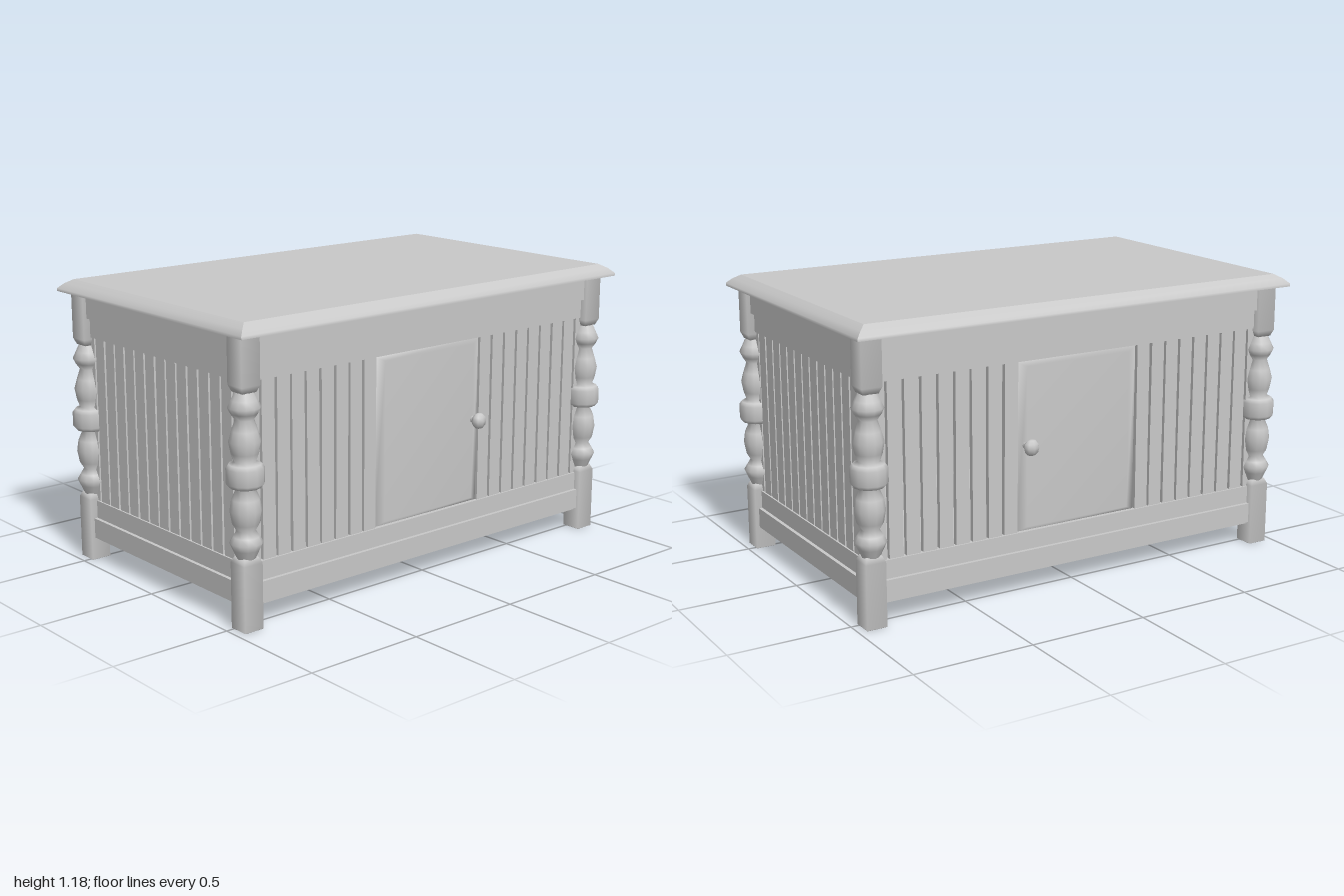
import * as THREE from 'three';
import { mergeVertices } from 'three/addons/utils/BufferGeometryUtils.js';

export function createModel() {
  const model = new THREE.Group();
  const paint = new THREE.MeshStandardMaterial({ color: 0xc8c8c8 });
  paint.name = 'grey paint';

  const add = (name, geometry, x = 0, y = 0, z = 0, parent = model) => {
    const mesh = new THREE.Mesh(geometry, paint);
    mesh.name = name;
    mesh.position.set(x, y, z);
    parent.add(mesh);
    return mesh;
  };
  // box given by its centre in plan and its bottom and top heights
  const board = (name, w, d, y0, y1, x, z, parent) =>
    add(name, new THREE.BoxGeometry(w, y1 - y0, d), x, (y0 + y1) / 2, z, parent);

  // small seeded generator for the hand-fitted tilt of the slats
  let seed = 7;
  const jitter = () => {
    seed = (seed * 16807) % 2147483647;
    return seed / 2147483647 - 0.5;
  };

  // top slab, sloping in above a narrow vertical edge
  const slab = new THREE.BoxGeometry(2, 0.05, 1.24, 1, 3, 1);
  const p = slab.attributes.position;
  const levels = [[1.13, 0], [1.142, 0], [1.163, 0.022], [1.18, 0.05]];
  for (let i = 0; i < p.count; i++) {
    const [y, inset] = levels[Math.round((p.getY(i) + 0.025) / 0.05 * 3)];
    p.setXYZ(i, Math.sign(p.getX(i)) * (1 - inset), y, Math.sign(p.getZ(i)) * (0.62 - inset));
  }
  slab.computeVertexNormals();
  add('top', slab);

  // corner posts: square ends with a turned middle
  const lathe = (points, sides) =>
    new THREE.LatheGeometry(points.map(([r, y]) => new THREE.Vector2(r, y)), sides);
  const foot = lathe([[0, 0], [0.06, 0], [0.06, 0.001], [0.06, 0.262], [0.045, 0.285], [0, 0.287]], 4);
  const head = lathe([[0, 0.912], [0.045, 0.914], [0.06, 0.94], [0.06, 1.135]], 4);
  foot.rotateY(Math.PI / 4);
  head.rotateY(Math.PI / 4);
  const turning = lathe([
    [0.036, 0.28], [0.052, 0.315], [0.064, 0.342], [0.05, 0.365], [0.036, 0.388],
    [0.052, 0.415], [0.061, 0.465], [0.054, 0.51], [0.036, 0.55],
    [0.06, 0.556], [0.073, 0.572], [0.073, 0.63], [0.062, 0.645], [0.042, 0.653],
    [0.053, 0.685], [0.061, 0.73], [0.05, 0.77], [0.036, 0.812],
    [0.052, 0.835], [0.063, 0.858], [0.05, 0.885], [0.036, 0.915],
  ], 12);
  for (const sx of [-1, 1]) for (const sz of [-1, 1]) {
    const post = new THREE.Group();
    post.name = 'cornerPost';
    post.position.set(sx * 0.923, 0, sz * 0.528);
    add('postFoot', foot, 0, 0, 0, post);
    add('postTurning', turning, 0, 0, 0, post);
    add('postHead', head, 0, 0, 0, post);
    model.add(post);
  }

  // wall built facing +z: stepped rails above and below a row of slats
  const wall = (name, length, out, centres) => {
    const g = new THREE.Group();
    g.name = name;
    board('upperRail', length, 0.035, 0.95, 1.13, 0, out - 0.0325, g);
    board('upperTrim', length, 0.02, 1.03, 1.13, 0, out - 0.01, g);
    board('lowerRail', length, 0.035, 0.085, 0.255, 0, out - 0.0325, g);
    board('lowerTrim', length, 0.02, 0.095, 0.18, 0, out - 0.01, g);
    for (const x of centres) {
      const slat = board('slat', 0.06, 0.02, 0.24, 0.96, x, out - 0.032, g);
      slat.rotation.z = jitter() * 0.008;
    }
    model.add(g);
    return g;
  };

  const pitch = 0.0713;
  const sideSlats = Array.from({ length: 15 }, (_, i) => (i - 7) * pitch);
  const longSlats = [];
  for (let i = 0; i < 9; i++) longSlats.push(-0.318 - i * pitch, 0.308 + i * 0.0725);

  wall('rightWall', 0.98, 0.95, sideSlats).rotation.y = Math.PI / 2;
  wall('leftWall', 0.98, 0.95, sideSlats).rotation.y = -Math.PI / 2;

  // bevelled door panel with soft shading
  const makeDoor = () => {
    let geo = new THREE.BoxGeometry(0.56, 0.69, 0.03, 1, 1, 2);
    geo.deleteAttribute('uv');
    geo.deleteAttribute('normal');
    geo = mergeVertices(geo);
    const q = geo.attributes.position;
    for (let i = 0; i < q.count; i++) {
      if (q.getZ(i) > 0.01) {
        q.setX(i, q.getX(i) * 0.86);
        q.setY(i, q.getY(i) * 0.95);
      }
    }
    geo.computeVertexNormals();
    return geo;
  };
  const door = makeDoor();
  const stem = new THREE.CylinderGeometry(0.013, 0.016, 0.035, 8).rotateX(Math.PI / 2);
  const knob = new THREE.SphereGeometry(0.034, 8, 6).scale(1, 1, 0.75);

  // front and back walls, each with a door whose knob is on the +x side
  for (const s of [1, -1]) {
    const side = s > 0 ? 'front' : 'back';
    const g = wall(side + 'Wall', 1.77, 0.555, longSlats.map((x) => s * x));
    if (s < 0) g.rotation.y = Math.PI;
    const d = add(side + 'Door', door, 0, 0.6, 0.522, g);
    // keep the broad edge on the knob side
    d.position.x = -0.003 * s;
    add('knobStem', stem, s * 0.24, 0.61, 0.545, g);
    add('knob', knob, s * 0.24, 0.61, 0.573, g);
  }

  // floor set up inside the lower rails
  board('floor', 1.83, 1.04, 0.155, 0.18, 0, 0);

  return model;
}
